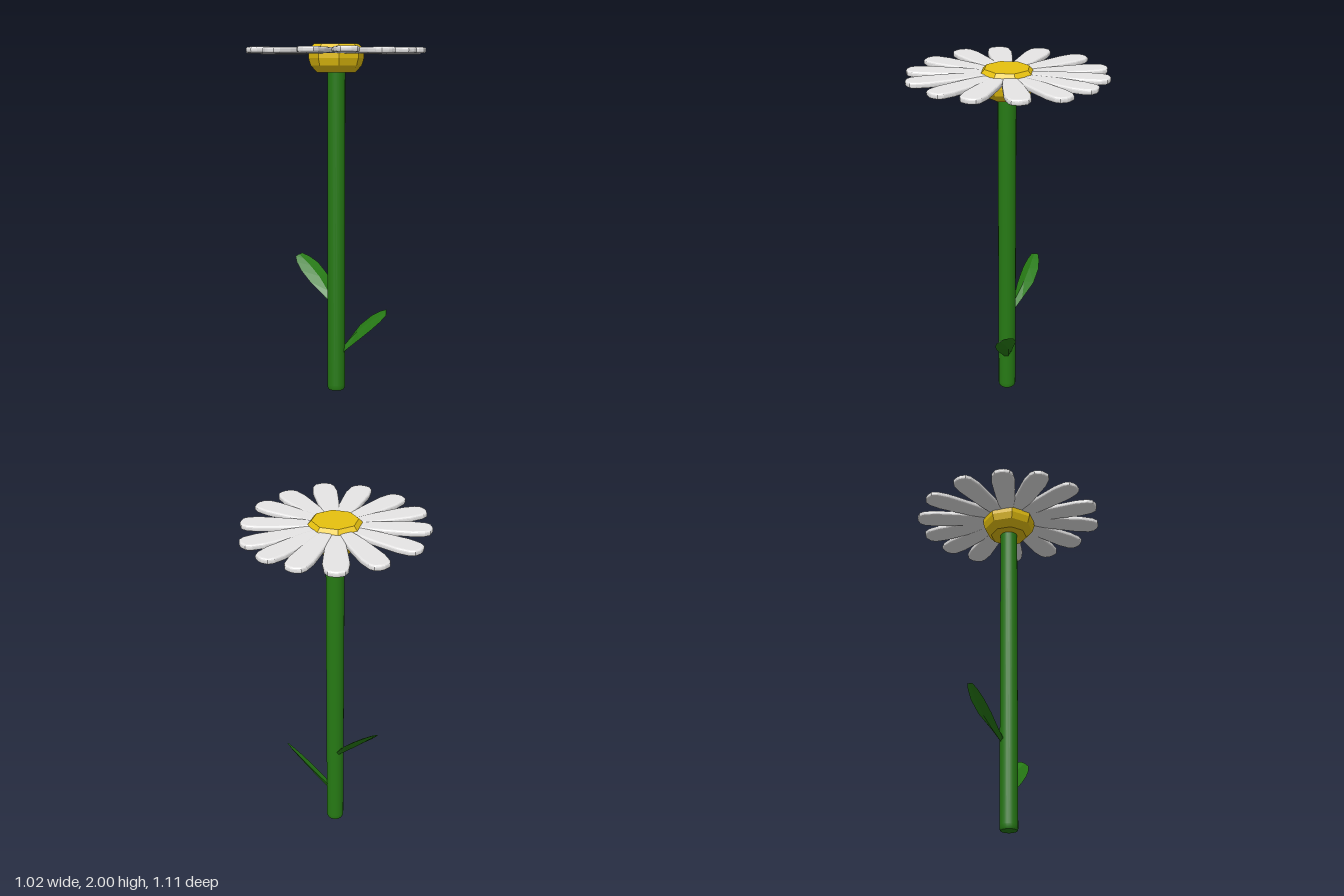
import * as THREE from 'three';

const mat = (name, color, extra = {}) => {
  const m = new THREE.MeshStandardMaterial({ color, ...extra });
  m.name = name;
  return m;
};

// Petal lying flat along +x, reaching from the centre to the given radius
function petalGeometry(tip) {
  const s = tip / 0.54;
  const half = [[0.06, 0.025], [0.18, 0.047], [0.25, 0.056], [0.34, 0.063], [0.43, 0.069], [0.5, 0.061], [0.53, 0.044], [0.542, 0.01]];
  const pts = half.map(([r, w]) => new THREE.Vector2(r * s, w));
  const back = half.map(([r, w]) => new THREE.Vector2(r * s, -w)).reverse();
  const g = new THREE.ExtrudeGeometry(new THREE.Shape([...pts, ...back]), {
    depth: 0.01, bevelThickness: 0.011, bevelSize: 0.011, bevelOffset: -0.011, bevelSegments: 3,
  });
  return g.rotateX(-Math.PI / 2);
}

// Leaf lofted through diamond sections; side is the half-width vector
function leafGeometry(points, side) {
  const curve = new THREE.CatmullRomCurve3(points.map((p) => new THREE.Vector3(...p)));
  const w = new THREE.Vector3(...side);
  const sections = [[0, 0.2, 0.012], [0.2, 0.55, 0.015], [0.45, 1, 0.015], [0.7, 1, 0.012], [0.88, 0.75, 0.008], [1, 0.4, 0.003]];
  const pos = [], idx = [];
  sections.forEach(([t, k, thick]) => {
    const c = curve.getPoint(t);
    const n = curve.getTangent(t).cross(w).normalize();
    [[k, 0], [0, thick], [-k, 0], [0, -thick]].forEach(([a, b]) => {
      const p = c.clone().addScaledVector(w, a).addScaledVector(n, b);
      pos.push(p.x, p.y, p.z);
    });
  });
  for (let i = 0; i < sections.length - 1; i++) {
    for (let j = 0; j < 4; j++) {
      const a = i * 4 + j, b = i * 4 + ((j + 1) % 4);
      idx.push(a, b, a + 4, b, b + 4, a + 4);
    }
  }
  const e = (sections.length - 1) * 4;
  idx.push(0, 2, 1, 0, 3, 2, e, e + 1, e + 2, e, e + 2, e + 3);
  const g = new THREE.BufferGeometry();
  g.setAttribute('position', new THREE.Float32BufferAttribute(pos, 3));
  g.setIndex(idx);
  g.computeVertexNormals();
  return g;
}

export function createModel() {
  const flower = new THREE.Group();
  flower.name = 'flower';
  const green = mat('stemGreen', 0x267a14);
  const leafGreen = mat('leafGreen', 0x267a14, { flatShading: true, side: THREE.DoubleSide });
  const yellow = mat('centreYellow', 0xe7c10f, { flatShading: true });
  const white = mat('petalWhite', 0xe7e6e6);
  const add = (name, geometry, material, parent = flower) => {
    const m = new THREE.Mesh(geometry, material);
    m.name = name;
    parent.add(m);
    return m;
  };
  const profile = (pts) => pts.map(([r, y]) => new THREE.Vector2(r, y));

  // Stem with a slightly bevelled foot
  add('stem', new THREE.LatheGeometry(profile([[0, 0], [0.046, 0], [0.046, 0], [0.051, 0.012], [0.051, 0.03], [0.051, 1.85]]), 20), green);

  // Faceted flower centre
  add('flowerCentre', new THREE.LatheGeometry(profile([
    [0, 1.84], [0.108, 1.84], [0.145, 1.88], [0.157, 1.92], [0.157, 1.955], [0.145, 1.98], [0.126, 2], [0, 2],
  ]), 8), yellow);

  // Petals: direction in degrees and tip radius
  const petals = new THREE.Group();
  petals.name = 'petals';
  flower.add(petals);
  [[84.5, 0.555], [61.8, 0.555], [40.9, 0.545], [18.5, 0.53], [-9.5, 0.5], [-40, 0.505], [-64, 0.53],
    [-89, 0.555], [-113, 0.545], [-139.6, 0.53], [-165.4, 0.52], [168.7, 0.51], [139.7, 0.525], [109.5, 0.54],
  ].forEach(([deg, tip], i) => {
    const p = add('petal', petalGeometry(tip), white, petals);
    p.rotation.y = THREE.MathUtils.degToRad(deg);
    p.position.y = 1.957 + 0.002 * ((i * 5) % 3 - 1);
  });

  // Leaves
  add('lowerLeaf', leafGeometry([[0.01, 0.2, 0], [0.145, 0.36, 0.045], [0.275, 0.48, 0.125]], [-0.01, -0.032, 0.05]), leafGreen);
  add('upperLeaf', leafGeometry([[-0.01, 0.5, -0.03], [-0.1, 0.65, -0.155], [-0.2, 0.762, -0.238]], [-0.053, -0.018, 0.032]), leafGreen);
  return flower;
}
